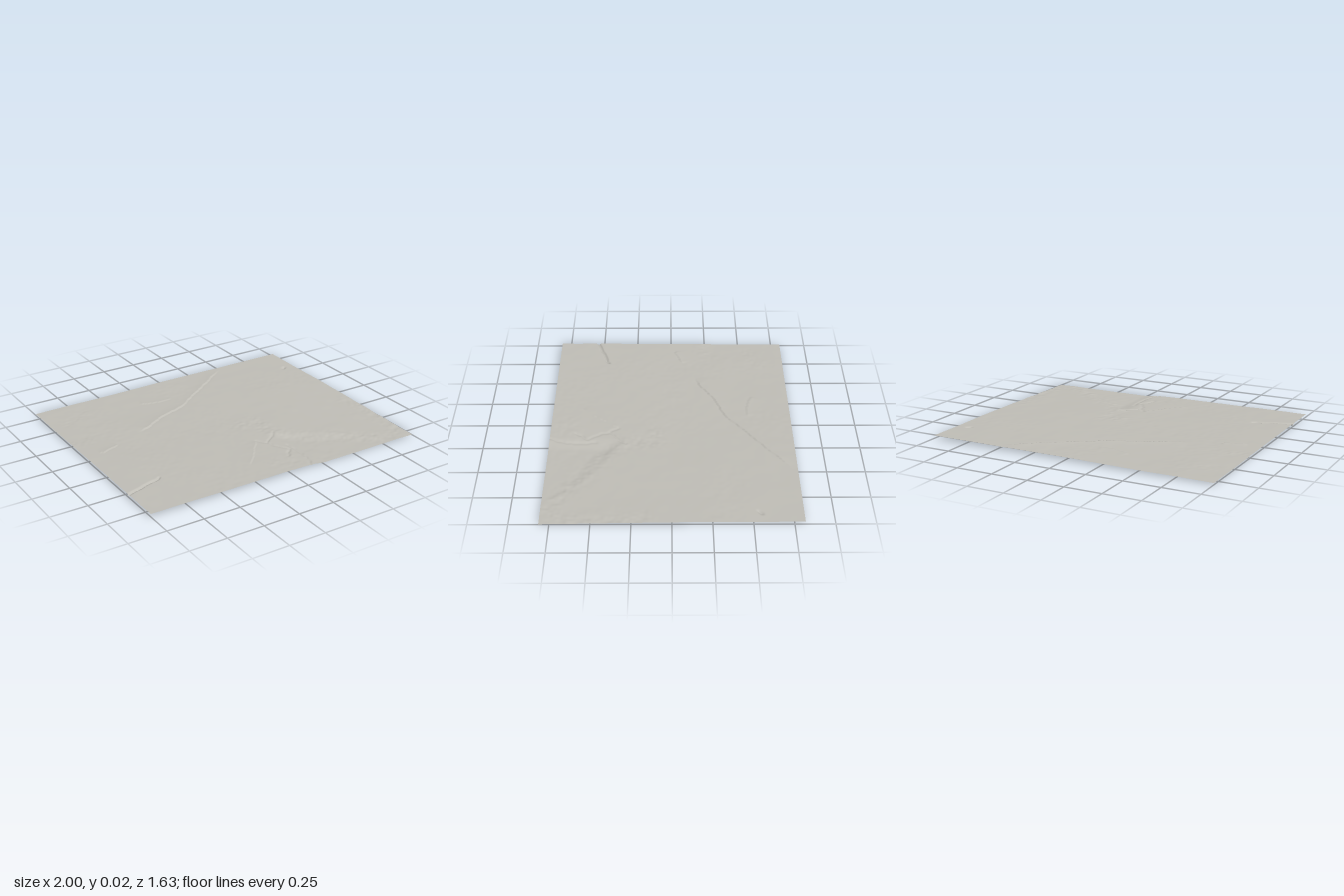
import * as THREE from 'three';

const W = 2, D = 1.63, BASE = 0.025;
const smooth = (a, b, v) => THREE.MathUtils.smoothstep(v, a, b);

// Repeatable value noise, -1 to 1
function hash(i, j) {
  const s = Math.sin(i * 127.1 + j * 311.7) * 43758.5453;
  return (s - Math.floor(s)) * 2 - 1;
}
function noise(x, z) {
  const i = Math.floor(x), j = Math.floor(z);
  const u = smooth(0, 1, x - i), v = smooth(0, 1, z - j);
  const a = hash(i, j) * (1 - u) + hash(i + 1, j) * u;
  const b = hash(i, j + 1) * (1 - u) + hash(i + 1, j + 1) * u;
  return a * (1 - v) + b * v;
}

// Signed distance to a polyline and position along it (0 to 1)
function lineDistance(points, x, z) {
  let best = Infinity, side = 1, along = 0;
  for (let i = 0; i < points.length - 1; i++) {
    const [ax, az] = points[i], [bx, bz] = points[i + 1];
    const dx = bx - ax, dz = bz - az;
    const t = THREE.MathUtils.clamp(((x - ax) * dx + (z - az) * dz) / (dx * dx + dz * dz), 0, 1);
    const d = Math.hypot(x - ax - t * dx, z - az - t * dz);
    if (d < best) {
      best = d;
      side = dx * (z - az) - dz * (x - ax) < 0 ? -1 : 1;
      along = (i + t) / (points.length - 1);
    }
  }
  return { d: best, side, along };
}

// Long scarps: steep on one side, falling off gently behind
const scarps = [
  { points: [[-0.54, -0.17], [-0.42, -0.22], [-0.3, -0.29], [-0.08, -0.37], [0.02, -0.45], [0.24, -0.6], [0.5, -0.79]], height: 0.006, fade: 0.06 },
  { points: [[-0.9, -0.03], [-0.82, -0.05], [-0.74, -0.09]], height: 0.004, fade: 0.03 },
  { points: [[-0.32, -0.56], [-0.2, -0.52], [-0.08, -0.52]], height: 0.003, fade: 0.04 },
  { points: [[-0.17, 0.62], [-0.06, 0.5], [0.05, 0.36]], height: 0.003, fade: 0.04 },
];

// Narrow cracks
const cracks = [
  { points: [[-1.02, 0.55], [-0.87, 0.5], [-0.74, 0.46]], depth: 0.012, width: 0.008 },
  { points: [[0.05, 0.36], [0.1, 0.43], [0.14, 0.52], [0.17, 0.56], [0.11, 0.64]], depth: 0.005, width: 0.008 },
  { points: [[0.1, 0.41], [0.17, 0.36], [0.22, 0.3]], depth: 0.005, width: 0.008 },
  { points: [[0.2, 0.5], [0.21, 0.65], [0.19, 0.75], [0.16, 0.82]], depth: 0.005, width: 0.009 },
  { points: [[0.9, -0.54], [0.93, -0.555]], depth: 0.008, width: 0.009 },
];

// Strips of broken ground
const rubble = [
  { points: [[0.08, 0.1], [0.2, 0.1], [0.2, 0.3], [0.36, 0.46], [0.52, 0.55], [0.68, 0.66], [0.8, 0.74]], width: 0.07, height: 0.0045 },
  { points: [[0.95, 0.15], [0.98, 0.4], [0.96, 0.65], [0.88, 0.8]], width: 0.05, height: 0.004 },
  { points: [[-0.98, -0.24], [-0.9, -0.23], [-0.84, -0.3]], width: 0.05, height: 0.003 },
  { points: [[-0.9, -0.55], [-0.7, -0.64]], width: 0.06, height: 0.002 },
  { points: [[0, 0.7], [0.1, 0.7]], width: 0.08, height: 0.003 },
];
const valleyEdge = [[0.2, 0.3], [0.36, 0.46], [0.52, 0.55], [0.68, 0.66], [0.8, 0.74], [1.1, 0.9]];

function groundHeight(x, z) {
  // Gentle saddle: two corners lifted, two sunk
  const xz = x * z / (W * D / 4);
  const tilt = xz < 0 ? 0.004 : x < 0 ? -0.008 : -0.016;
  let y = BASE + tilt * Math.abs(xz);

  // Sunken ground between the rubble strip and the front edge
  const edge = lineDistance(valleyEdge, x, z);
  const inside = smooth(-0.05, 0.07, edge.d * edge.side) * smooth(0.15, 0.28, x) * smooth(0.3, 0.42, z);
  y = THREE.MathUtils.lerp(y, Math.min(y, 0.01), inside);

  // Soft undulation and fine grain
  y += 0.0015 * noise(x * 4 + 9, z * 4) + 0.0007 * noise(x * 13, z * 13 + 5);
  y += 0.0006 * noise(x * 34, z * 34) * smooth(-0.1, 0.6, noise(x * 3 + 20, z * 3));

  const wx = x + 0.006 * noise(x * 30, z * 30), wz = z + 0.006 * noise(x * 30 + 50, z * 30);
  for (const s of scarps) {
    const { d, side, along } = lineDistance(s.points, wx, wz);
    const ends = smooth(0, 0.1, along) * smooth(0, 0.1, 1 - along);
    if (side < 0) y += s.height * ends * Math.exp(-d / s.fade);
    else y -= s.height * 0.3 * ends * Math.exp(-d / 0.012);
  }
  for (const c of cracks) {
    const { d } = lineDistance(c.points, wx, wz);
    y -= c.depth * Math.exp(-((d / c.width) ** 2));
  }
  for (const r of rubble) {
    const { d } = lineDistance(r.points, x, z);
    const rough = noise(x * 22, z * 22) * 0.6 + noise(x * 48, z * 48) * 0.4;
    y += r.height * rough * Math.exp(-((d / r.width) ** 2));
  }
  return THREE.MathUtils.clamp(y, 0, 0.031);
}

export function createModel() {
  const group = new THREE.Group();
  group.name = 'terrainTile';
  const stone = new THREE.MeshStandardMaterial({ color: 0xbfbdb6, side: THREE.DoubleSide });
  stone.name = 'pale grey stone';

  // One open sheet of ground
  const geometry = new THREE.PlaneGeometry(W, D, 240, 196).rotateX(-Math.PI / 2);
  const pos = geometry.attributes.position;
  let low = Infinity;
  for (let i = 0; i < pos.count; i++) {
    const y = groundHeight(pos.getX(i), pos.getZ(i));
    pos.setY(i, y);
    low = Math.min(low, y);
  }
  geometry.translate(0, -low, 0);
  geometry.computeVertexNormals();

  const ground = new THREE.Mesh(geometry, stone);
  ground.name = 'ground';
  group.add(ground);
  return group;
}
